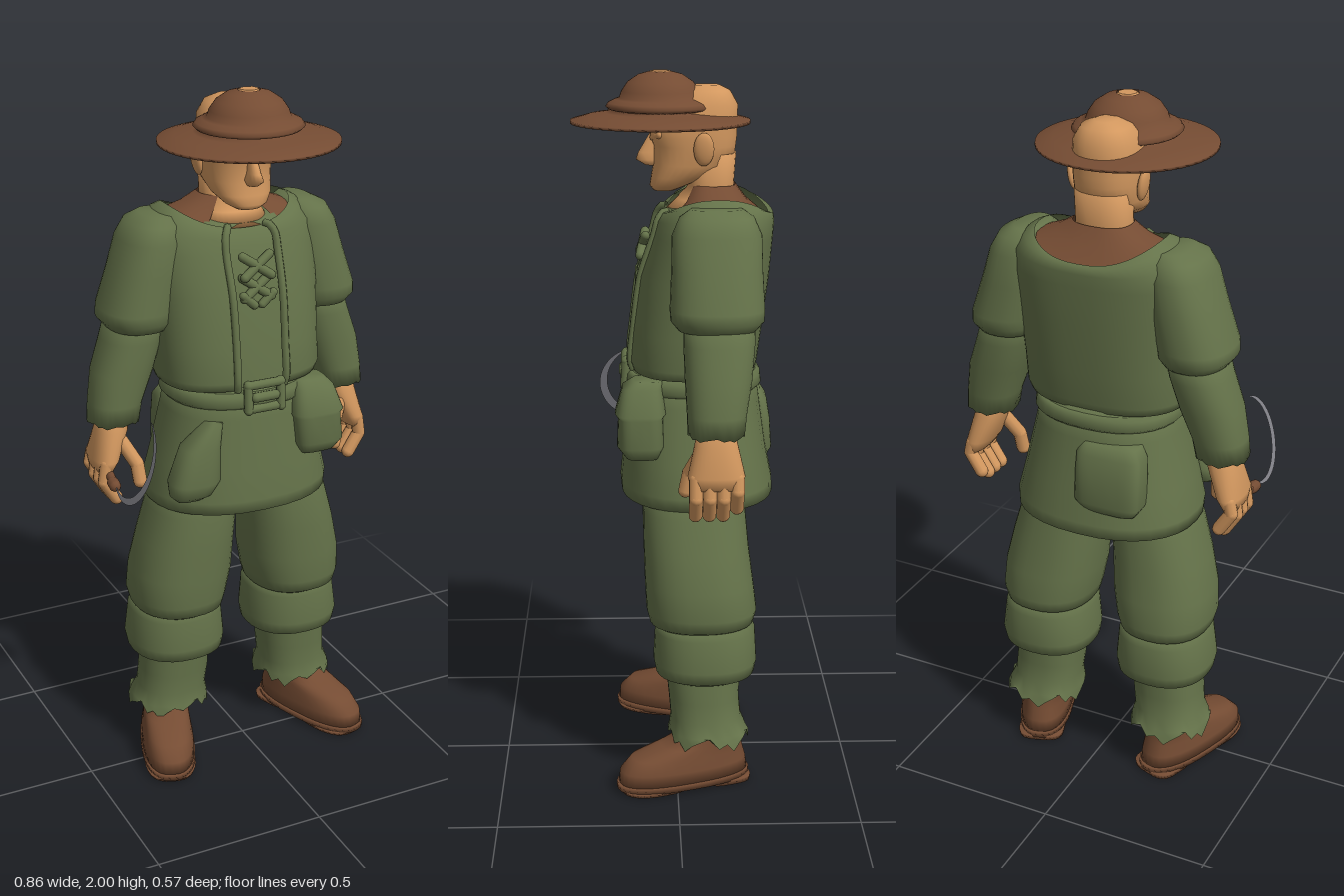
import * as THREE from 'three';

const mat = (name, color) => {
  const m = new THREE.MeshStandardMaterial({ color, side: THREE.DoubleSide });
  m.name = name;
  return m;
};

// Point on a rounded ring [y, cx, cz, rx, rz, dip]; dip lowers its front and back.
function ringPoint([y, cx, cz, rx, rz, dip = 0], a, n) {
  const s = Math.sin(a), c = Math.cos(a), p = 2 / n;
  return new THREE.Vector3(
    cx + Math.sign(s) * Math.abs(s) ** p * rx,
    y - dip * c * c,
    cz + Math.sign(c) * Math.abs(c) ** p * rz);
}

// Skin over rings listed from top to bottom; gap leaves an opening at the front.
function loft(rings, { n = 2.3, gap = 0, jag = 0, seg = 32, caps = true } = {}) {
  const pos = [], idx = [], cols = gap ? seg + 1 : seg;
  rings.forEach((r, i) => {
    for (let j = 0; j < cols; j++) {
      const v = ringPoint(r, gap + (j / seg) * (Math.PI * 2 - gap * 2), n);
      if (jag && i === rings.length - 1) v.y += jag * [0, 0.5, 1, -0.3, 0.2, -0.8][j % 6];
      pos.push(v.x, v.y, v.z);
    }
  });
  for (let i = 0; i < rings.length - 1; i++) {
    for (let j = 0; j < seg; j++) {
      const k = (j + 1) % cols, a = i * cols + j, b = i * cols + k;
      idx.push(a, a + cols, b + cols, a, b + cols, b);
    }
  }
  if (caps && !gap) {
    const last = (rings.length - 1) * cols, top = pos.length / 3;
    for (const r of [rings[0], rings[rings.length - 1]]) pos.push(r[1], r[0], r[2]);
    for (let j = 0; j < seg; j++) {
      const k = (j + 1) % seg;
      idx.push(top, j, k, top + 1, last + k, last + j);
    }
  }
  const g = new THREE.BufferGeometry();
  g.setAttribute('position', new THREE.Float32BufferAttribute(pos, 3));
  g.setIndex(idx);
  g.computeVertexNormals();
  return g;
}

export function createModel() {
  const root = new THREE.Group();
  const green = mat('green cloth', 0x65734a), brown = mat('brown leather', 0x754c33);
  const skin = mat('skin', 0xd3985f), steel = mat('steel', 0x85858c);

  const add = (name, geo, m, parent = root) => {
    const mesh = new THREE.Mesh(geo, m);
    mesh.name = name;
    parent.add(mesh);
    return mesh;
  };
  const rod = (name, a, b, r, m) => {
    const p = new THREE.Vector3(...a), d = new THREE.Vector3(...b).sub(p);
    const mesh = add(name, new THREE.CapsuleGeometry(r, d.length(), 4, 10), m);
    mesh.position.copy(p).addScaledVector(d, 0.5);
    mesh.quaternion.setFromUnitVectors(new THREE.Vector3(0, 1, 0), d.normalize());
    return mesh;
  };
  const chain = (name, pts, r, m) => pts.slice(1).forEach((p, i) => rod(name, pts[i], p, r, m));

  // Head, neck and face
  add('head', loft([
    [1.962, 0, -0.085, 0.03, 0.035], [1.948, 0, -0.085, 0.065, 0.065],
    [1.91, 0, -0.075, 0.088, 0.097], [1.86, 0, -0.052, 0.096, 0.118],
    [1.825, 0, -0.05, 0.096, 0.12], [1.8, 0, -0.054, 0.094, 0.113],
    [1.75, 0, -0.05, 0.09, 0.11], [1.715, 0, -0.012, 0.08, 0.078],
    [1.69, 0, 0.02, 0.058, 0.05], [1.677, 0, 0.03, 0.035, 0.03]]), skin);
  add('neck', loft([
    [1.78, 0, -0.1, 0.08, 0.068], [1.69, 0, -0.1, 0.078, 0.062],
    [1.655, 0, -0.085, 0.085, 0.08], [1.62, 0, -0.07, 0.1, 0.1]]), skin);
  add('nose', loft([
    [1.835, 0, 0.058, 0.01, 0.01], [1.78, 0, 0.065, 0.016, 0.036],
    [1.76, 0, 0.065, 0.023, 0.043], [1.745, 0, 0.06, 0.016, 0.022]], { seg: 14 }), skin);
  rod('lips', [-0.022, 1.727, 0.052], [0.022, 1.727, 0.052], 0.008, skin);

  // Wide hat with a stepped crown; the small worn hole shows the scalp
  const hat = add('hat', new THREE.LatheGeometry([
    [0.03, 1.998], [0.06, 1.99], [0.09, 1.97], [0.107, 1.945], [0.113, 1.928], [0.125, 1.924],
    [0.143, 1.915], [0.15, 1.905], [0.143, 1.898], [0.12, 1.892], [0.15, 1.888],
    [0.2, 1.881], [0.247, 1.868], [0.247, 1.86], [0.18, 1.866], [0.1, 1.872],
  ].reverse().map(p => new THREE.Vector2(...p)), 48), brown);
  hat.position.z = 0.04;
  const hole = add('hatHole', new THREE.CylinderGeometry(0.026, 0.031, 0.006, 8), skin);
  hole.position.set(0, 1.997, 0.04);

  // Shirt, collar and open vest
  add('shirt', loft([
    [1.64, 0, -0.1, 0.13, 0.12, 0.01], [1.57, 0, -0.1, 0.22, 0.15], [1.45, 0, -0.08, 0.225, 0.165],
    [1.18, 0, -0.05, 0.2, 0.165], [1.1, 0, -0.05, 0.19, 0.16]], { n: 2.5 }), green);
  add('collar', loft([
    [1.695, 0, -0.105, 0.082, 0.062], [1.67, 0, -0.11, 0.125, 0.09, 0.02],
    [1.65, 0, -0.115, 0.178, 0.128, 0.04]], { n: 2.5, gap: 0.55 }), brown);
  const vest = [
    [1.672, 0, -0.115, 0.178, 0.14, 0.05], [1.66, 0, -0.115, 0.205, 0.155, 0.04],
    [1.62, 0, -0.11, 0.24, 0.163, 0.02], [1.56, 0, -0.103, 0.248, 0.167],
    [1.45, 0, -0.08, 0.243, 0.181], [1.3, 0, -0.06, 0.238, 0.182],
    [1.21, 0, -0.05, 0.238, 0.18], [1.185, 0, -0.05, 0.228, 0.172], [1.178, 0, -0.05, 0.19, 0.15]];
  add('vest', loft(vest, { n: 2.5, gap: 0.236, seg: 48 }), green);
  for (const s of [1, -1]) {
    const pts = vest.slice(0, 8).map(r => ringPoint(r, s * 0.236, 2.5));
    add('vestEdge', new THREE.TubeGeometry(new THREE.CatmullRomCurve3(pts), 30, 0.011, 8), green);
    for (const y of [1.44, 1.5]) rod('lace', [-0.04 * s, y, 0.098], [0.04 * s, y + 0.055, 0.083], 0.013, green);
    rod('laceEnd', [0.012 * s, 1.42, 0.1], [0.045 * s, 1.45, 0.1], 0.012, green);
  }

  // Tunic skirt, belt and bags
  add('skirt', loft([
    [1.19, 0, -0.05, 0.195, 0.175], [1.1, 0, -0.05, 0.213, 0.187], [0.95, 0, -0.055, 0.248, 0.203],
    [0.86, 0, -0.06, 0.27, 0.217], [0.825, 0, -0.062, 0.268, 0.216], [0.812, 0, -0.062, 0.23, 0.19]]), green);
  add('belt', loft([
    [1.178, 0, -0.05, 0.2, 0.18], [1.168, 0, -0.05, 0.212, 0.19],
    [1.142, 0, -0.05, 0.216, 0.193], [1.13, 0, -0.05, 0.205, 0.18]]), green);
  for (const s of [1, -1]) {
    rod('buckleSide', [0.05 * s, 1.13, 0.143], [0.05 * s, 1.205, 0.138], 0.013, green);
    rod('buckleBar', [-0.05, 1.168 + s * 0.035, 0.14], [0.05, 1.168 + s * 0.035, 0.14], 0.013, green);
  }
  rod('bucklePin', [-0.03, 1.168, 0.146], [0.03, 1.168, 0.146], 0.014, green);
  add('pouch', loft([
    [1.18, 0.165, 0.08, 0.045, 0.04], [1.16, 0.165, 0.095, 0.062, 0.055],
    [1.09, 0.172, 0.1, 0.08, 0.07], [1.078, 0.172, 0.1, 0.074, 0.062],
    [1.0, 0.178, 0.1, 0.075, 0.065], [0.965, 0.178, 0.095, 0.055, 0.045]], { n: 3.5 }), green);
  add('sideBag', loft([
    [1.1, -0.14, 0.105, 0.022, 0.03], [1.03, -0.175, 0.09, 0.055, 0.052],
    [0.93, -0.195, 0.09, 0.073, 0.06], [0.89, -0.205, 0.09, 0.06, 0.045],
    [0.875, -0.21, 0.09, 0.04, 0.025]], { n: 2.6 }), green);
  add('backPouch', loft([
    [1.1, -0.08, -0.21, 0.08, 0.035], [1.07, -0.08, -0.22, 0.098, 0.045],
    [1.01, -0.08, -0.225, 0.1, 0.05], [0.93, -0.08, -0.23, 0.1, 0.05],
    [0.9, -0.08, -0.23, 0.08, 0.035]], { n: 4 }), green);

  for (const s of [1, -1]) {
    const side = (name, rings, m, opt) =>
      add(name, loft(rings.map(([y, x, ...r]) => [y, x * s, ...r]), opt), m);
    const at = (x, y, z) => [x * s, y, z];

    // Ears and brow ridges
    const ear = add('ear', new THREE.SphereGeometry(1, 16, 12), skin);
    ear.scale.set(0.013, 0.046, 0.028);
    ear.position.set(s * 0.102, 1.798, -0.075);
    ear.rotation.z = -s * 0.15;
    rod('brow', at(0.02, 1.822, 0.06), at(0.062, 1.832, 0.042), 0.01, skin);

    // Sleeves
    side('upperSleeve', [
      [1.655, 0.215, -0.105, 0.04, 0.07], [1.635, 0.225, -0.105, 0.07, 0.1],
      [1.59, 0.235, -0.105, 0.085, 0.12], [1.5, 0.252, -0.105, 0.097, 0.122],
      [1.4, 0.28, -0.105, 0.103, 0.127], [1.37, 0.283, -0.105, 0.102, 0.125],
      [1.345, 0.28, -0.105, 0.085, 0.105], [1.34, 0.28, -0.105, 0.05, 0.06]], green);
    side('lowerSleeve', [
      [1.39, 0.275, -0.11, 0.08, 0.095], [1.31, 0.295, -0.11, 0.083, 0.096],
      [1.22, 0.325, -0.107, 0.085, 0.09], [1.13, 0.35, -0.102, 0.074, 0.08],
      [1.075, 0.358, -0.1, 0.071, 0.076]], green, { jag: 0.006 });

    // Hands
    side('palm', [
      [1.12, 0.355, -0.1, 0.04, 0.045], [1.05, 0.365, -0.1, 0.045, 0.058],
      [0.97, 0.392, -0.1, 0.038, 0.077], [0.935, 0.4, -0.1, 0.022, 0.068]], skin);
    for (let k = 0; k < 4; k++) {
      const z = -0.045 - k * 0.037, d = k === 3 ? 0.02 : 0;
      chain('finger', [at(0.402, 0.965, z), at(0.41, 0.91 + d, z), at(0.375, 0.855 + d, z)], 0.019, skin);
    }
    chain('thumb', [at(0.35, 1.02, -0.06), at(0.316, 0.955, -0.03), at(0.312, 0.905, -0.02)], 0.02, skin);

    // Baggy trousers in three tiers
    side('thigh', [
      [0.9, 0.13, -0.05, 0.11, 0.13], [0.8, 0.145, -0.05, 0.126, 0.144],
      [0.7, 0.163, -0.055, 0.137, 0.148], [0.6, 0.177, -0.063, 0.146, 0.153],
      [0.52, 0.187, -0.07, 0.14, 0.156], [0.485, 0.187, -0.07, 0.131, 0.147],
      [0.465, 0.187, -0.07, 0.1, 0.115]], green);
    side('kneeCuff', [
      [0.49, 0.187, -0.075, 0.118, 0.13], [0.46, 0.188, -0.08, 0.133, 0.142],
      [0.37, 0.19, -0.08, 0.143, 0.147], [0.335, 0.189, -0.08, 0.137, 0.14],
      [0.318, 0.188, -0.08, 0.105, 0.11]], green);
    side('trouserLeg', [
      [0.34, 0.192, -0.075, 0.1, 0.106], [0.26, 0.197, -0.077, 0.102, 0.1],
      [0.2, 0.203, -0.082, 0.1, 0.1], [0.165, 0.208, -0.087, 0.112, 0.11],
      [0.145, 0.21, -0.09, 0.116, 0.116]], green, { jag: 0.025, caps: false });

    // Boots, toes turned out
    const boot = new THREE.Group();
    boot.name = 'boot';
    boot.position.set(s * 0.245, 0, -0.017);
    boot.rotation.y = s * 0.33;
    root.add(boot);
    add('bootUpper', loft([
      [0.22, 0, -0.09, 0.062, 0.07], [0.15, 0, -0.085, 0.065, 0.085], [0.125, 0, -0.055, 0.067, 0.12],
      [0.1, 0, -0.012, 0.07, 0.165], [0.065, 0, 0, 0.076, 0.187], [0.025, 0, 0, 0.077, 0.192]], { n: 2.5 }), brown, boot);
    add('sole', loft([
      [0.03, 0, 0, 0.08, 0.197], [0.012, 0, 0, 0.08, 0.197]], { n: 2.5 }), brown, boot);
    add('heel', loft([
      [0.015, 0, -0.125, 0.07, 0.07], [0, 0, -0.125, 0.068, 0.068]], { n: 3.5 }), brown, boot);
    add('foreSole', loft([
      [0.015, 0, 0.085, 0.076, 0.108], [0.003, 0, 0.085, 0.072, 0.102]], { n: 2.5 }), brown, boot);
  }

  // Sickle held in the right hand
  rod('sickleHandle', [-0.385, 0.945, -0.12], [-0.405, 0.928, 0.02], 0.013, brown);
  rod('sickleFerrule', [-0.404, 0.928, 0.005], [-0.406, 0.927, 0.025], 0.017, brown);
  const pos = [], idx = [], N = 32;
  for (let i = 0; i <= N; i++) {
    const t = i / N, a = THREE.MathUtils.degToRad(-125 + 200 * t);
    const w = 0.003 + 0.022 * Math.sin(Math.PI * t);
    for (const r of [0.12, 0.12 - w]) {
      const y = 1.03 + r * Math.sin(a);
      pos.push(-0.415 + (y - 0.91) * 0.33, y, 0.1 + r * Math.cos(a));
    }
    if (i < N) idx.push(2 * i, 2 * i + 2, 2 * i + 1, 2 * i + 1, 2 * i + 2, 2 * i + 3);
  }
  const blade = new THREE.BufferGeometry();
  blade.setAttribute('position', new THREE.Float32BufferAttribute(pos, 3));
  blade.setIndex(idx);
  blade.computeVertexNormals();
  add('sickleBlade', blade, steel);

  return root;
}
